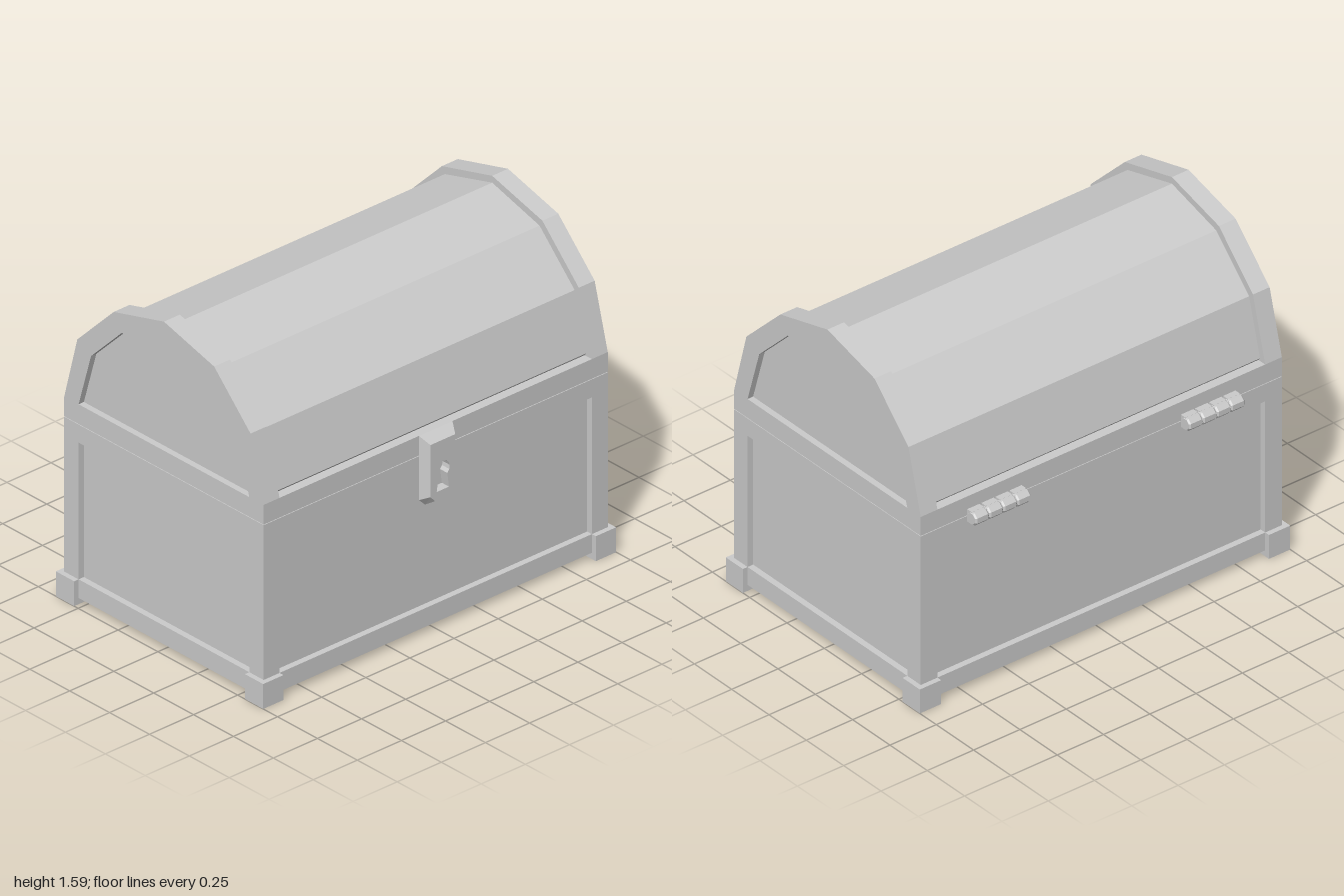
import * as THREE from 'three';

const mat = new THREE.MeshStandardMaterial({ color: 0xcccccc, flatShading: true, side: THREE.DoubleSide });
const Z0 = 0.01;            // chest body centre in z
const W = 0.975, D = 0.625; // half width and half depth of the frame
const T = 0.09;             // frame bar thickness
const INSET = 0.03;         // panel recess
const Y0 = 0.03, Y1 = 0.867, LID_BOTTOM = 0.87, LID_RIM = 0.965;

function add(parent, name, geometry, x = 0, y = 0, z = 0) {
  const mesh = new THREE.Mesh(geometry, mat);
  mesh.name = name;
  mesh.position.set(x, y, z);
  parent.add(mesh);
  return mesh;
}

// Box given by its half sizes in x and z and its y range
function slab(parent, name, hx, y0, y1, hz, x = 0, z = 0) {
  return add(parent, name, new THREE.BoxGeometry(hx * 2, y1 - y0, hz * 2), x, (y0 + y1) / 2, z);
}

// Mirror half a [z, y] profile into a closed symmetric outline; the last point is the apex
function symmetric(half) {
  const other = half.slice(0, -1).reverse().map(([z, y]) => [-z, y]);
  return [...half, ...other].map(([z, y]) => new THREE.Vector2(z, y));
}

// Extrude a [z, y] shape along x, centred on x = 0
function extrudeX(shape, length) {
  const g = new THREE.ExtrudeGeometry(shape, { depth: length, bevelEnabled: false });
  g.translate(0, 0, -length / 2);
  g.rotateY(Math.PI / 2);
  return g;
}

function createBase() {
  const base = new THREE.Group();
  base.name = 'base';
  base.position.z = Z0;
  slab(base, 'basePanels', W - INSET, Y0 + INSET, Y1, D - INSET);
  for (const sx of [-1, 1]) {
    for (const sz of [-1, 1]) {
      slab(base, 'cornerPost', T / 2, Y0, Y1, T / 2, sx * (W - T / 2), sz * (D - T / 2));
      slab(base, 'foot', 0.0575, 0, 0.12, 0.0575, sx * 0.9425, sz * 0.5925);
    }
  }
  for (const [y0, y1] of [[Y0, 0.12], [0.78, Y1]]) {
    for (const s of [-1, 1]) {
      slab(base, 'longRail', W - T, y0, y1, T / 2, 0, s * (D - T / 2));
      slab(base, 'sideRail', T / 2, y0, y1, D - T, s * (W - T / 2), 0);
    }
  }
  return base;
}

function createLid() {
  const lid = new THREE.Group();
  lid.name = 'lid';
  lid.position.z = Z0;

  // Faceted barrel, tucked in slightly above the rim
  const barrel = new THREE.Shape(symmetric([
    [0.575, LID_BOTTOM], [0.575, 0.96], [0.59, 0.978], [0.517, 1.253], [0.297, 1.472], [0, 1.555],
  ]));
  add(lid, 'lidBarrel', extrudeX(barrel, 2 * (W - INSET)));

  // End arches framing the recessed end panels
  const arch = new THREE.Shape(symmetric([
    [D, LID_BOTTOM], [D, LID_RIM], [0.543, 1.275], [0.315, 1.503], [0, 1.588],
  ]));
  arch.holes.push(new THREE.Path(symmetric([
    [0.535, LID_RIM], [0.457, 1.23], [0.265, 1.422], [0, 1.492],
  ])));
  for (const s of [-1, 1]) {
    add(lid, 'endArch', extrudeX(arch, T), s * (W - T / 2));
    slab(lid, 'lidRim', W - T, LID_BOTTOM, LID_RIM, T / 2, 0, s * (D - T / 2));
  }
  return lid;
}

function createLatch() {
  const outline = [[-0.095, 0.965], [-0.095, 0.655], [-0.06, 0.62], [0.06, 0.62], [0.095, 0.655], [0.095, 0.965]];
  const shape = new THREE.Shape(outline.map(([x, y]) => new THREE.Vector2(x, y)));
  const keyhole = new THREE.Path();
  keyhole.moveTo(-0.035, 0.69);
  keyhole.lineTo(0.035, 0.69);
  keyhole.lineTo(0.025, 0.76);
  keyhole.absarc(0, 0.79, 0.039, -0.88, Math.PI + 0.88, false);
  keyhole.closePath();
  shape.holes.push(keyhole);
  const g = new THREE.ExtrudeGeometry(shape, { depth: 0.045, bevelEnabled: false, curveSegments: 5 });

  // Pull in the outer front edge to form the chamfer
  const p = g.attributes.position;
  for (let i = 0; i < p.count; i++) {
    const y = p.getY(i);
    if (p.getZ(i) > 0.02 && (y < 0.66 || y > 0.9)) {
      p.setX(i, p.getX(i) * 0.74);
      p.setY(i, 0.65 + (y - 0.62) * 0.28 / 0.345);
    }
  }
  g.computeVertexNormals();
  return g;
}

function createHinge(x) {
  const hinge = new THREE.Group();
  hinge.name = 'hinge';
  hinge.position.set(x, LID_BOTTOM, -0.647);
  const half = [[0, -0.036], [0.026, -0.036], [0.033, -0.029], [0.033, 0.029], [0.026, 0.036], [0, 0.036]];
  const profile = half.map(([r, y]) => new THREE.Vector2(r, y));
  for (let i = 0; i < 4; i++) {
    const kx = (i - 1.5) * 0.076;
    const knuckle = add(hinge, 'hingeKnuckle', new THREE.LatheGeometry(profile, 8, Math.PI / 8), kx);
    knuckle.rotation.z = Math.PI / 2;
    add(hinge, 'hingeLeaf', new THREE.BoxGeometry(0.066, 0.062, 0.034), kx, 0, 0.018);
  }
  const pin = add(hinge, 'hingePin', new THREE.CylinderGeometry(0.024, 0.024, 0.29, 8));
  pin.rotation.z = Math.PI / 2;
  return hinge;
}

export function createModel() {
  const chest = new THREE.Group();
  chest.name = 'chest';
  chest.add(createBase(), createLid());
  add(chest, 'latch', createLatch(), 0, 0, Z0 + D);
  for (const s of [-1, 1]) chest.add(createHinge(s * 0.577));
  return chest;
}
